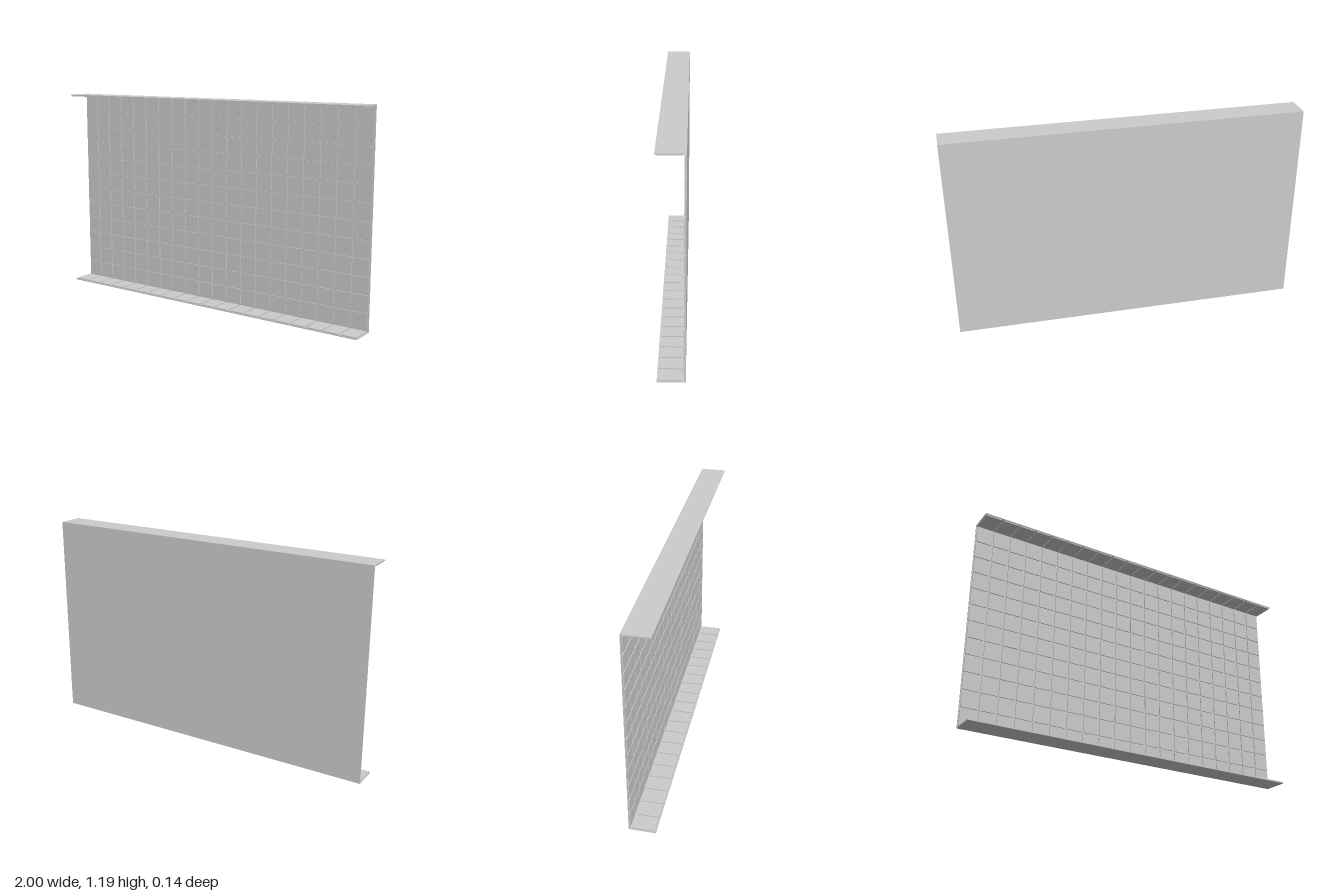
import * as THREE from 'three';

const W = 2, H = 1.194, D = 0.144;   // overall size
const SHEET = 0.005, TILE = 0.006;   // backing and tile thickness
const GAP = 0.01;                    // joint between tiles
const COLS = 20, ROWS = 12;

export function createModel() {
  const model = new THREE.Group();
  model.name = 'tiledChannelPanel';
  const material = new THREE.MeshStandardMaterial({ color: 0xcccccc, flatShading: true });

  const box = (parent, name, w, h, d, x, y, z) => {
    const mesh = new THREE.Mesh(new THREE.BoxGeometry(w, h, d), material);
    mesh.name = name;
    mesh.position.set(x, y, z);
    parent.add(mesh);
  };

  // C-shaped backing sheet, extruded along x
  const b = -D / 2, f = D / 2;
  const profile = new THREE.Shape([
    [f, 0], [f, SHEET], [b + SHEET, SHEET], [b + SHEET, H - SHEET],
    [f, H - SHEET], [f, H], [b, H], [b, 0],
  ].map(([z, y]) => new THREE.Vector2(-z, y)));
  const sheetGeometry = new THREE.ExtrudeGeometry(profile, { depth: W, bevelEnabled: false });
  sheetGeometry.translate(0, 0, -W / 2).rotateY(-Math.PI / 2).rotateY(Math.PI);
  const sheet = new THREE.Mesh(sheetGeometry, material);
  sheet.name = 'backingSheet';
  model.add(sheet);

  const wallTiles = new THREE.Group();
  wallTiles.name = 'wallTiles';
  const floorTiles = new THREE.Group();
  floorTiles.name = 'floorTiles';
  const ceilingTiles = new THREE.Group();
  ceilingTiles.name = 'ceilingTiles';
  model.add(wallTiles, floorTiles, ceilingTiles);

  const inset = SHEET + TILE;
  const pitchX = W / COLS, pitchY = (H - 2 * inset) / ROWS;
  const flangeDepth = D - inset;
  for (let c = 0; c < COLS; c++) {
    const x = -W / 2 + (c + 0.5) * pitchX;
    // Tiles on the inner face of the wall
    for (let r = 0; r < ROWS; r++) {
      box(wallTiles, 'wallTile', pitchX - GAP, pitchY - GAP, TILE,
        x, inset + (r + 0.5) * pitchY, b + SHEET + TILE / 2);
    }
    // One row of tiles on the inner face of each flange
    const z = b + inset + flangeDepth / 2;
    box(floorTiles, 'floorTile', pitchX - GAP, TILE, flangeDepth - GAP, x, SHEET + TILE / 2, z);
    box(ceilingTiles, 'ceilingTile', pitchX - GAP, TILE, flangeDepth - GAP, x, H - SHEET - TILE / 2, z);
  }
  return model;
}
